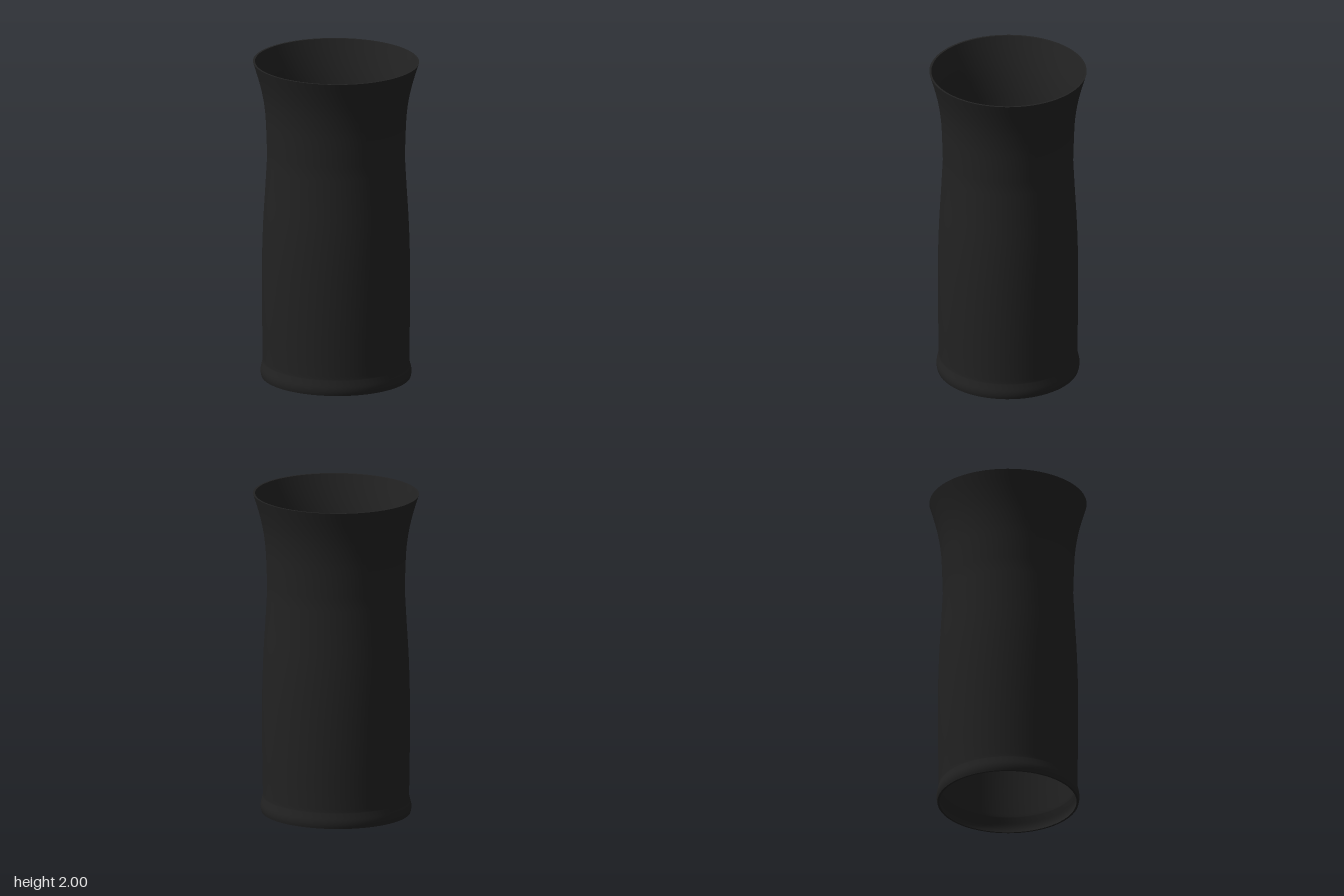
import * as THREE from 'three';

const DEPTH = 0.945; // the sleeve is slightly oval
const WALL = 0.013;
const SEGMENTS = 72;

const curve = (pts, n) =>
  new THREE.SplineCurve(pts.map(([r, y]) => new THREE.Vector2(r, y))).getPoints(n);

export function createModel() {
  const group = new THREE.Group();
  group.name = 'sleeve';
  const black = new THREE.MeshStandardMaterial({ color: 0x222222 });
  black.name = 'black';

  // Outer profile: hem bead, gently swelling body, narrow waist, flared mouth
  const hem = curve([[0.455, 0], [0.46, 0.02], [0.46, 0.045], [0.453, 0.075], [0.447, 0.1]], 12);
  const body = curve([[0.447, 0.1], [0.448, 0.2], [0.451, 0.4], [0.452, 0.6], [0.45, 0.8],
    [0.443, 1.0], [0.431, 1.2], [0.42, 1.4]], 24);
  const flare = curve([[0.42, 1.4], [0.427, 1.6], [0.435, 1.7], [0.451, 1.8],
    [0.476, 1.9], [0.507, 2.0]], 18);
  const outer = [...hem, ...body.slice(1), ...flare.slice(1)];

  // Inner profile runs downward so that it faces the axis
  const inner = outer.map(p => new THREE.Vector2(p.x - WALL, p.y)).reverse();

  const addLathe = (name, points) => {
    const mesh = new THREE.Mesh(new THREE.LatheGeometry(points, SEGMENTS), black);
    mesh.name = name;
    mesh.scale.z = DEPTH;
    group.add(mesh);
  };
  addLathe('outerWall', outer);
  addLathe('innerWall', inner);
  addLathe('topRim', [outer[outer.length - 1], inner[0]]);
  addLathe('bottomRim', [inner[inner.length - 1], outer[0]]);

  return group;
}
